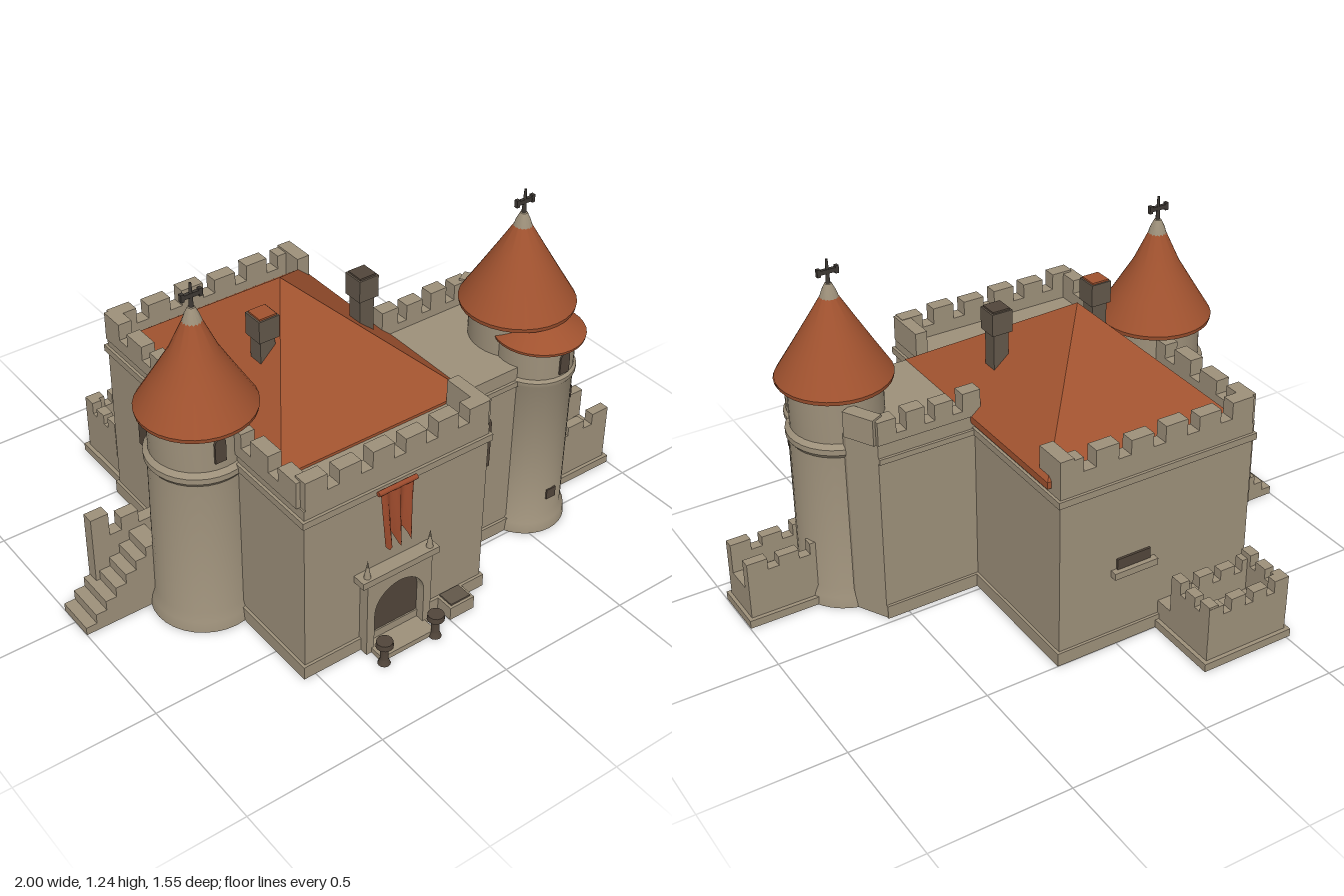
import * as THREE from 'three';
import { toCreasedNormals } from 'three/addons/utils/BufferGeometryUtils.js';
import { ConvexGeometry } from 'three/addons/geometries/ConvexGeometry.js';

const mat = (name, color, side = THREE.FrontSide) => {
  const m = new THREE.MeshStandardMaterial({ color, side });
  m.name = name;
  return m;
};

export function createModel() {
  const stone = mat('stone', 0x9d907a);
  const tile = mat('roofTile', 0xa0522f);
  const cloth = mat('bannerCloth', 0x9c4a2c, THREE.DoubleSide);
  const dark = mat('darkWood', 0x51453a);
  const soot = mat('chimneyStone', 0x62574a);
  const iron = mat('iron', 0x3d3833);
  const model = new THREE.Group();

  const add = (name, geo, material, x = 0, y = 0, z = 0, parent = model) => {
    const m = new THREE.Mesh(geo, material);
    m.name = name;
    m.position.set(x, y, z);
    parent.add(m);
    return m;
  };
  // Box given by its limits on each axis
  const block = (name, x0, x1, y0, y1, z0, z1, material = stone, parent = model) =>
    add(name, new THREE.BoxGeometry(x1 - x0, y1 - y0, z1 - z0), material,
      (x0 + x1) / 2, (y0 + y1) / 2, (z0 + z1) / 2, parent);
  // Upright prism over an outline of [x, z] points
  const prism = (name, outline, y0, y1, material = stone) => {
    const s = new THREE.Shape(outline.map(([x, z]) => new THREE.Vector2(x, -z)));
    const g = new THREE.ExtrudeGeometry(s, { depth: y1 - y0, bevelEnabled: false });
    return add(name, g.rotateX(-Math.PI / 2), material, 0, y0, 0);
  };
  // Battlement between two points: low wall with merlons, thickness t
  const battlement = (name, ax, az, bx, bz, y0, y1, y2, n, t = 0.05) => {
    const g = new THREE.Group();
    g.name = name;
    const len = Math.hypot(bx - ax, bz - az);
    g.position.set(ax, 0, az);
    g.rotation.y = Math.atan2(-(bz - az), bx - ax);
    block('lowWall', 0, len, y0, y1, -t / 2, t / 2, stone, g);
    const w = len / (n * 1.55 - 0.55);
    for (let i = 0; i < n; i++) {
      const x = i * w * 1.55, h = y2 - 0.008 * (i % 2);
      block('merlon', x, x + w, y1, h, -t / 2, t / 2, stone, g);
    }
    model.add(g);
  };
  const lathe = (name, profile, material, x, z, seg = 32) => {
    const g = new THREE.LatheGeometry(profile.map(([r, y]) => new THREE.Vector2(r, y)), seg);
    return add(name, toCreasedNormals(g, 0.6), material, x, 0, z);
  };
  const archShape = (w, h) => {
    const s = new THREE.Shape();
    s.moveTo(-w / 2, 0);
    s.lineTo(w / 2, 0);
    s.lineTo(w / 2, h - w / 2);
    s.absarc(0, h - w / 2, w / 2, 0, Math.PI);
    return s;
  };
  // Thin arched plate, turned about y to lie on a wall
  const arch = (name, w, h, x, y, z, turn = 0, material = dark) => {
    const g = new THREE.ExtrudeGeometry(archShape(w, h), { depth: 0.008, bevelEnabled: false });
    const m = add(name, g, material, x, y, z);
    m.rotation.y = turn;
    return m;
  };

  // Keep: body, flared foot and string course
  const keep = [[-0.535, 0.645], [0.185, 0.645], [0.185, 0.03], [0.22, 0.03], [0.22, -0.49], [-0.535, -0.49]];
  const swell = (d) => keep.map(([x, z]) => [x + (x < 0 ? -d : d), z + (z > 0.3 ? d : z < 0 ? -d : 0)]);
  prism('keepWalls', keep, 0, 0.68);
  prism('keepFoot', swell(0.01), 0, 0.05);
  prism('keepCourse', swell(0.01), 0.62, 0.645);
  battlement('frontBattlement', -0.53, 0.62, 0.18, 0.62, 0.68, 0.725, 0.785, 6);
  battlement('leftBattlement', -0.52, -0.48, -0.52, 0.62, 0.68, 0.725, 0.785, 8);
  battlement('backBattlement', -0.53, -0.465, 0.22, -0.465, 0.68, 0.725, 0.785, 6);
  block('rightFrontBattlement', 0.145, 0.19, 0.68, 0.775, 0.48, 0.64);
  block('rightBackBattlement', 0.17, 0.22, 0.68, 0.785, -0.49, -0.37);

  // Hipped roof
  const eave = [];
  for (const y of [0.665, 0.69])
    for (const x of [-0.5, 0.235]) for (const z of [-0.44, 0.48]) eave.push(new THREE.Vector3(x, y, z));
  eave.push(new THREE.Vector3(-0.155, 1.02, -0.01));
  add('hippedRoof', new ConvexGeometry(eave), tile);

  // Chimneys
  for (const x of [-0.31, 0.08]) {
    block('chimneyShaft', x - 0.028, x + 0.028, 0.75, 0.94, 0.087, 0.143, soot);
    block('chimneyCap', x - 0.038, x + 0.038, 0.93, 1.01, 0.077, 0.153, soot);
    block('chimneyTop', x - 0.032, x + 0.032, 1.01, 1.016, 0.083, 0.147, x < 0 ? tile : dark);
  }

  // Right wing with a clipped back corner
  prism('wingWalls', [[0.15, 0.475], [0.6, 0.475], [0.64, 0.4], [0.64, 0.14], [0.58, 0.03], [0.15, 0.03]], 0, 0.69);
  block('wingFoot', 0.18, 0.58, 0, 0.05, 0.02, 0.485);
  block('wingCourse', 0.18, 0.58, 0.62, 0.64, 0.02, 0.485);
  battlement('wingBackBattlement', 0.2, 0.05, 0.58, 0.05, 0.69, 0.72, 0.785, 4);
  battlement('wingCornerBattlement', 0.57, 0.045, 0.625, 0.15, 0.69, 0.73, 0.785, 1);

  // Round towers with conical roofs, stone tips and crosses
  const towers = [[-0.58, 0.14, 0.80, 0], [0.585, 0.31, 0.825, 0]];
  for (const [x, z, e] of towers) {
    lathe('towerBody', [[0, 0], [0.185, 0], [0.18, 0.04], [0.168, 0.07], [0.165, 0.6], [0.176, 0.615],
      [0.176, 0.635], [0.16, 0.65], [0.16, e + 0.01]], stone, x, z);
    lathe('towerRoof', [[0, e], [0.195, e - 0.01], [0.198, e + 0.005], [0.14, e + 0.1],
      [0.08, e + 0.2], [0.03, 1.11], [0, 1.115]], tile, x, z);
    lathe('roofTip', [[0.034, 1.1], [0.024, 1.13], [0.012, 1.155], [0, 1.16]], stone, x, z, 16);
    const cross = new THREE.Group();
    cross.name = 'cross';
    cross.position.set(x, 0, z);
    add('post', new THREE.CylinderGeometry(0.004, 0.009, 0.1, 8), iron, 0, 1.19, 0, cross);
    block('bar', -0.036, 0.036, 1.19, 1.205, -0.006, 0.006, iron, cross);
    for (const s of [-1, 1]) block('barEnd', s * 0.032 - 0.006, s * 0.032 + 0.006, 1.184, 1.211, -0.007, 0.007, iron, cross);
    model.add(cross);
  }

  // Small stair turret in front of the right tower
  lathe('turretBody', [[0, 0], [0.15, 0], [0.146, 0.04], [0.134, 0.06], [0.134, 0.61], [0.143, 0.625],
    [0.143, 0.64], [0.134, 0.65], [0.134, 0.76]], stone, 0.575, 0.42);
  lathe('turretRoof', [[0, 0.76], [0.155, 0.755], [0.157, 0.765], [0.08, 0.815], [0, 0.84]], tile, 0.585, 0.425);

  // Windows
  arch('towerWindow', 0.04, 0.09, -0.6, 0.68, 0.296);
  arch('turretUpperWindow', 0.04, 0.08, 0.585, 0.66, 0.551);
  block('turretLowerWindow', 0.56, 0.6, 0.13, 0.17, 0.55, 0.558, dark);
  block('turretSideWindow', 0.682, 0.69, 0.48, 0.53, 0.48, 0.5, dark);
  arch('wingWindow', 0.09, 0.22, 0.305, 0.33, 0.473);
  arch('leftWindow', 0.1, 0.2, -0.533, 0.34, -0.26, -Math.PI / 2);
  block('backWindow', -0.13, 0, 0.3, 0.34, -0.498, -0.489, dark);
  block('backWindowSill', -0.15, 0.02, 0.275, 0.3, -0.515, -0.48);

  // Portal: frame with an arched hole, door, cornice and spikes
  const frame = new THREE.Shape([[-0.13, 0], [0.13, 0], [0.13, 0.31], [-0.13, 0.31]].map(p => new THREE.Vector2(...p)));
  frame.holes.push(archShape(0.2, 0.255));
  add('portalFrame', new THREE.ExtrudeGeometry(frame, { depth: 0.045, bevelEnabled: false }), stone, -0.19, 0, 0.64);
  arch('door', 0.21, 0.255, -0.19, 0, 0.642);
  block('portalCornice', -0.345, -0.04, 0.3, 0.325, 0.64, 0.695);
  for (const s of [-1, 1]) {
    const x = -0.19 + s * 0.125;
    add('corniceSpike', new THREE.ConeGeometry(0.012, 0.07, 8), stone, x, 0.36, 0.675);
    // Gate post with a wider head
    lathe('gatePost', [[0, 0], [0.022, 0], [0.014, 0.02], [0.014, 0.06], [0.03, 0.075], [0.028, 0.095], [0, 0.095]],
      dark, -0.19 + s * 0.105, 0.745, 12);
  }
  block('doorStep', -0.3, -0.08, 0, 0.02, 0.64, 0.74);
  block('sideStep', 0, 0.1, 0, 0.05, 0.64, 0.72);
  block('sideStepTop', 0.01, 0.09, 0.05, 0.056, 0.65, 0.71, soot);

  // Banner: a rippling cloth that narrows towards a notched hem
  const banner = new THREE.PlaneGeometry(0.13, 0.2, 16, 8);
  const p = banner.attributes.position;
  for (let i = 0; i < p.count; i++) {
    const u = p.getX(i) / 0.065, d = 0.5 - p.getY(i) / 0.2;
    p.setXYZ(i, u * 0.065 * (1 - 0.25 * d), p.getY(i) - d * 0.025 * Math.cos(u * 7),
      0.012 * Math.cos(u * 8) * (0.4 + d) + 0.012 * d);
  }
  banner.computeVertexNormals();
  add('banner', banner, cloth, -0.205, 0.545, 0.675);
  const rod = add('bannerRod', new THREE.CylinderGeometry(0.009, 0.009, 0.15, 10), cloth, -0.205, 0.643, 0.675);
  rod.rotation.z = Math.PI / 2;

  // Right bastion
  block('rightBastion', 0.6, 0.985, 0, 0.13, 0.235, 0.405);
  block('rightBastionFoot', 0.6, 0.998, 0, 0.03, 0.22, 0.418);
  for (const z of [0.253, 0.387]) {
    battlement('rightBastionBattlement', 0.68, z, 0.985, z, 0.13, 0.205, 0.248, 3, 0.036);
  }
  block('rightBastionEndWall', 0.95, 0.985, 0.12, 0.135, 0.235, 0.405);

  // Back bastion
  block('backBastion', -0.5, -0.175, 0, 0.1, -0.765, -0.47);
  block('backBastionFoot', -0.515, -0.16, 0, 0.03, -0.78, -0.47);
  for (const x of [-0.482, -0.193]) battlement('backBastionSide', x, -0.765, x, -0.56, 0.1, 0.2, 0.245, 3, 0.036);
  battlement('backBastionEnd', -0.5, -0.748, -0.175, -0.748, 0.1, 0.2, 0.245, 4, 0.036);
  battlement('backBastionInner', -0.5, -0.577, -0.175, -0.577, 0.1, 0.18, 0.225, 4, 0.036);

  // Left stair with its back wall
  for (let i = 0; i < 7; i++) {
    block('stairStep', -1 + i * 0.04, -0.7, i ? 0.03 + (i - 1) * 0.037 : 0, 0.03 + i * 0.037, -0.07, 0.075);
  }
  block('stairWall', -0.895, -0.65, 0, 0.27, -0.075, -0.03);
  block('stairWallMerlon', -0.895, -0.83, 0.27, 0.36, -0.075, -0.03);
  block('stairWallMerlon', -0.785, -0.72, 0.27, 0.32, -0.075, -0.03);

  return model;
}
